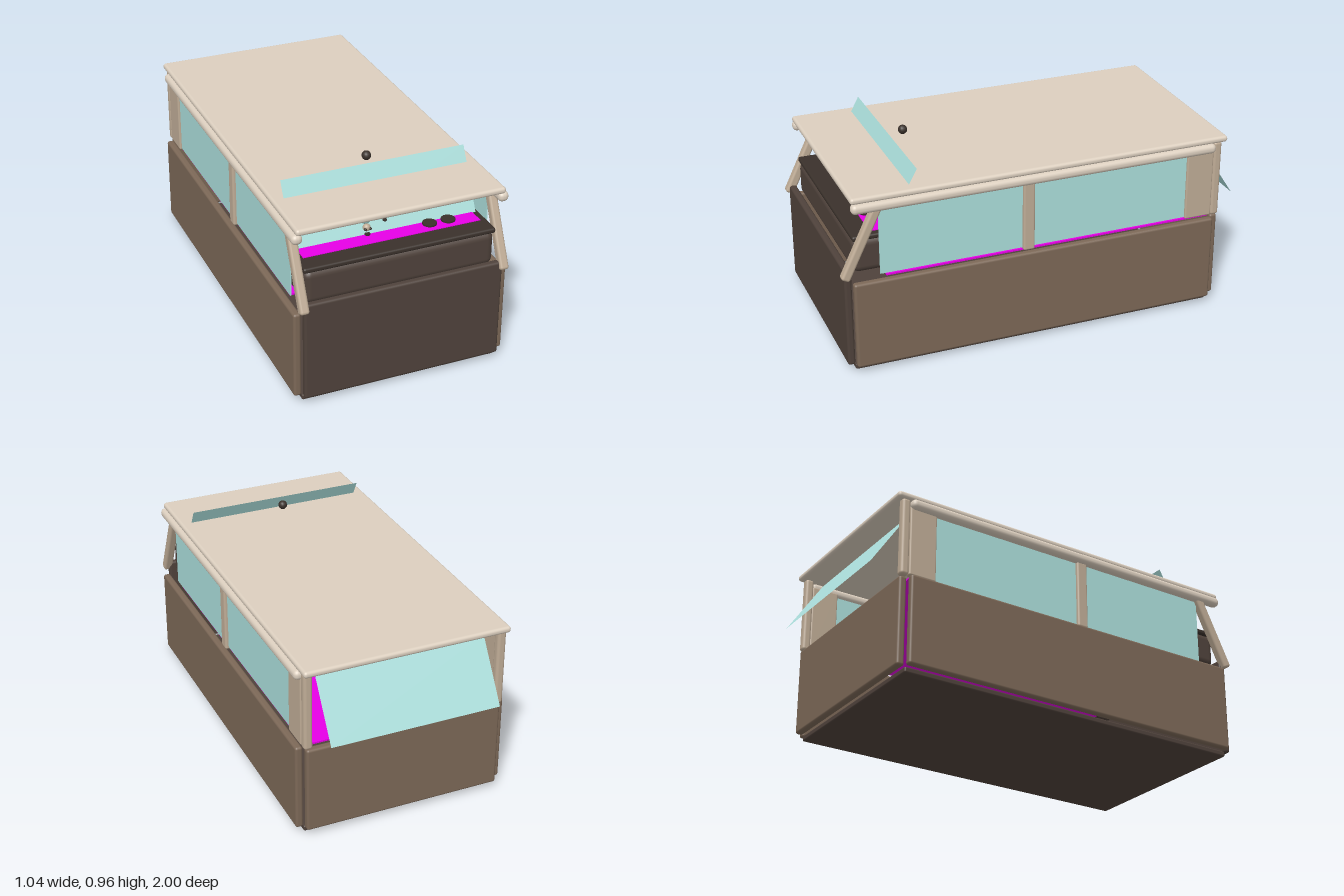
import * as THREE from 'three';
import { RoundedBoxGeometry } from 'three/addons/geometries/RoundedBoxGeometry.js';

export function createModel() {
  const model = new THREE.Group();
  const paint = (name, color, side = THREE.FrontSide) => {
    const m = new THREE.MeshStandardMaterial({ color, side });
    m.name = name;
    return m;
  };
  const cream = paint('cream roof', 0xdccfbf);
  const beige = paint('beige trim', 0xbfac96);
  const brown = paint('brown panel', 0x7c6857);
  const dark = paint('dark brown', 0x4f423b);
  const black = paint('dark fittings', 0x3a312b);
  const magenta = paint('magenta lining', 0xf000f0);
  const glass = paint('pale glass', 0xabdedb, THREE.DoubleSide);

  const add = (name, geometry, material, x = 0, y = 0, z = 0) => {
    const mesh = new THREE.Mesh(geometry, material);
    mesh.name = name;
    mesh.position.set(x, y, z);
    model.add(mesh);
    return mesh;
  };
  // Rounded box given by its limits on each axis
  const block = (name, material, [x0, x1], [y0, y1], [z0, z1], r = 0.008) =>
    add(name, new RoundedBoxGeometry(x1 - x0, y1 - y0, z1 - z0, 3, r), material,
      (x0 + x1) / 2, (y0 + y1) / 2, (z0 + z1) / 2);
  // Sloping pane between two (y, z) edges
  const pane = (name, width, [y0, z0], [y1, z1], flip) => {
    const h = Math.hypot(y1 - y0, z1 - z0);
    const mesh = add(name, new THREE.PlaneGeometry(width, h), glass, 0, (y0 + y1) / 2, (z0 + z1) / 2);
    mesh.rotation.x = Math.atan2(z1 - z0, y1 - y0) + (flip ? Math.PI : 0);
    return mesh;
  };

  // Lower tub
  block('floor', dark, [-0.48, 0.48], [0.003, 0.031], [-0.85, 0.945]);
  block('frontPanel', dark, [-0.48, 0.48], [0.031, 0.522], [0.945, 0.98], 0.012);
  block('backPanel', brown, [-0.48, 0.48], [0.031, 0.462], [-0.89, -0.852], 0.012);
  add('interiorDeck', new THREE.BoxGeometry(0.94, 0.008, 1.62), magenta, 0, 0.461, -0.03);

  // Roof
  block('roof', cream, [-0.5, 0.5], [0.846, 0.877], [-0.915, 0.94], 0.014);

  // Mirrored side parts
  for (const s of [-1, 1]) {
    const span = (a, b) => (s > 0 ? [a, b] : [-b, -a]);
    block('sidePanel', brown, span(0.482, 0.518), [0.031, 0.462], [-0.85, 0.945], 0.012);
    block('roofRail', cream, span(0.467, 0.518), [0.802, 0.85], [-0.85, 0.94], 0.022);
    block('middlePillar', beige, span(0.458, 0.497), [0.465, 0.81], [0.068, 0.125], 0.01);
    block('backPost', beige, span(0.45, 0.492), [0.466, 0.85], [-0.89, -0.848], 0.014);
    block('rearQuarter', beige, span(0.46, 0.492), [0.47, 0.82], [-0.848, -0.71], 0.008);
    // Leaning front pillar
    const pillar = add('frontPillar', new RoundedBoxGeometry(0.044, 0.385, 0.044, 3, 0.012),
      beige, s * 0.483, 0.655, 0.897);
    pillar.rotation.x = -Math.atan2(0.155, 0.32);
    // Side windows in front of and behind the middle pillar
    for (const [z0, z1] of [[-0.712, 0.068], [0.125, 0.812]]) {
      add('sideWindow', new THREE.BoxGeometry(0.006, 0.325, z1 - z0), glass,
        s * 0.478, 0.64, (z0 + z1) / 2);
    }
  }

  // Front and rear glass
  pane('windscreen', 0.892, [0.6, 0.802], [0.948, 0.616]);
  pane('rearWindow', 0.826, [0.53, -1], [0.808, -0.82], true);

  // Dashboard with a lined top and two round dials
  block('dashboard', dark, [-0.46, 0.46], [0.485, 0.655], [0.69, 0.93], 0.035);
  block('dashboardTop', black, [-0.463, 0.463], [0.648, 0.673], [0.67, 0.93], 0.01);
  add('dashboardLining', new THREE.BoxGeometry(0.86, 0.006, 0.15), magenta, 0, 0.673, 0.765);
  for (const x of [0.19, 0.282]) {
    add('dial', new THREE.CylinderGeometry(0.033, 0.033, 0.008, 24), black, x, 0.697, 0.81);
  }

  // Small dashboard figure
  add('figureBase', new THREE.CylinderGeometry(0.013, 0.013, 0.008, 16), black, -0.093, 0.679, 0.765);
  add('figureBody', new THREE.SphereGeometry(0.018, 20, 14), beige, -0.093, 0.708, 0.755);
  add('figureHead', new THREE.SphereGeometry(0.027, 24, 16), glass, -0.093, 0.746, 0.735);
  for (const s of [-1, 1]) {
    add('figureArm', new THREE.SphereGeometry(0.007, 10, 8), black, -0.093 + s * 0.012, 0.706, 0.769);
  }
  add('dashButton', new THREE.CylinderGeometry(0.01, 0.01, 0.006, 14), black, 0, 0.721, 0.745);

  // Knob above the roof
  add('roofKnob', new THREE.SphereGeometry(0.022, 12, 10), black, 0, 0.943, 0.535);
  return model;
}
